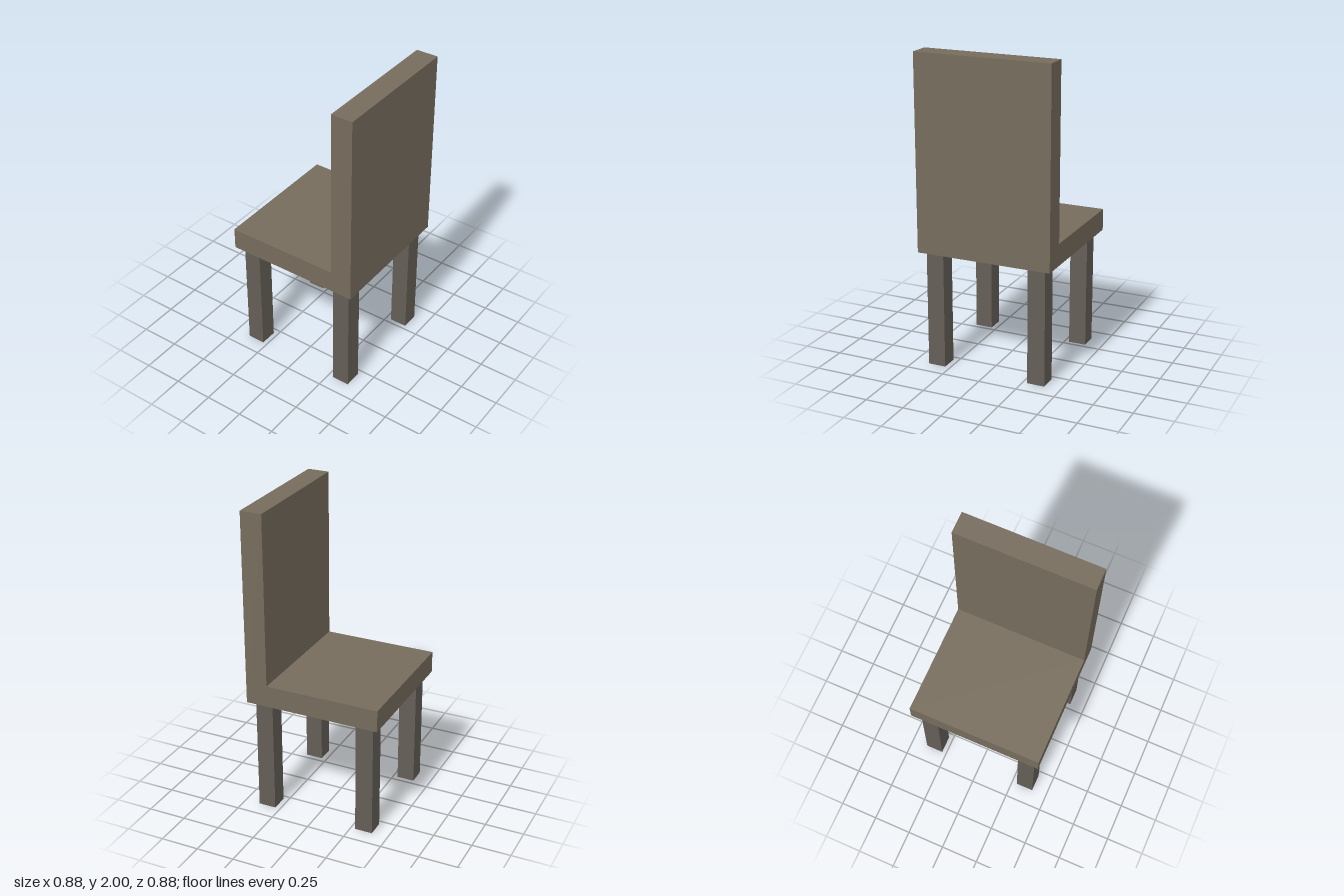
import * as THREE from 'three';

const HALF = 0.439;        // half width and depth of the seat
const SEAT_BOTTOM = 0.755;
const SEAT_TOP = 0.895;
const BACK_INNER = 0.298;  // z of the backrest face above the seat
const LEG = 0.114;

export function createModel() {
  const chair = new THREE.Group();
  chair.name = 'chair';
  const bodyMaterial = new THREE.MeshStandardMaterial({ color: 0x766c5d });
  const legMaterial = new THREE.MeshStandardMaterial({ color: 0x645e56 });

  // Seat and backrest: one L-shaped side profile swept across the width.
  // The profile's x runs along -z, with the backrest at +z.
  const profile = new THREE.Shape([
    [-HALF, SEAT_BOTTOM], [HALF, SEAT_BOTTOM], [HALF, SEAT_TOP],
    [-BACK_INNER, SEAT_TOP], [-BACK_INNER, 2], [-HALF, 2],
  ].map(([x, y]) => new THREE.Vector2(x, y)));
  const bodyGeometry = new THREE.ExtrudeGeometry(profile, { depth: 2 * HALF, bevelEnabled: false });
  bodyGeometry.translate(0, 0, -HALF).rotateY(Math.PI / 2);
  const body = new THREE.Mesh(bodyGeometry, bodyMaterial);
  body.name = 'seatAndBackrest';
  chair.add(body);

  // Four square legs, set in slightly from the seat edges
  const legGeometry = new THREE.BoxGeometry(LEG, SEAT_BOTTOM, LEG);
  for (const [xName, x] of [['Right', -0.342], ['Left', 0.337]]) {
    for (const [zName, z] of [['back', -0.337], ['front', 0.342]]) {
      const leg = new THREE.Mesh(legGeometry, legMaterial);
      leg.name = `${zName}${xName}Leg`;
      leg.position.set(x, SEAT_BOTTOM / 2, z);
      chair.add(leg);
    }
  }
  return chair;
}
